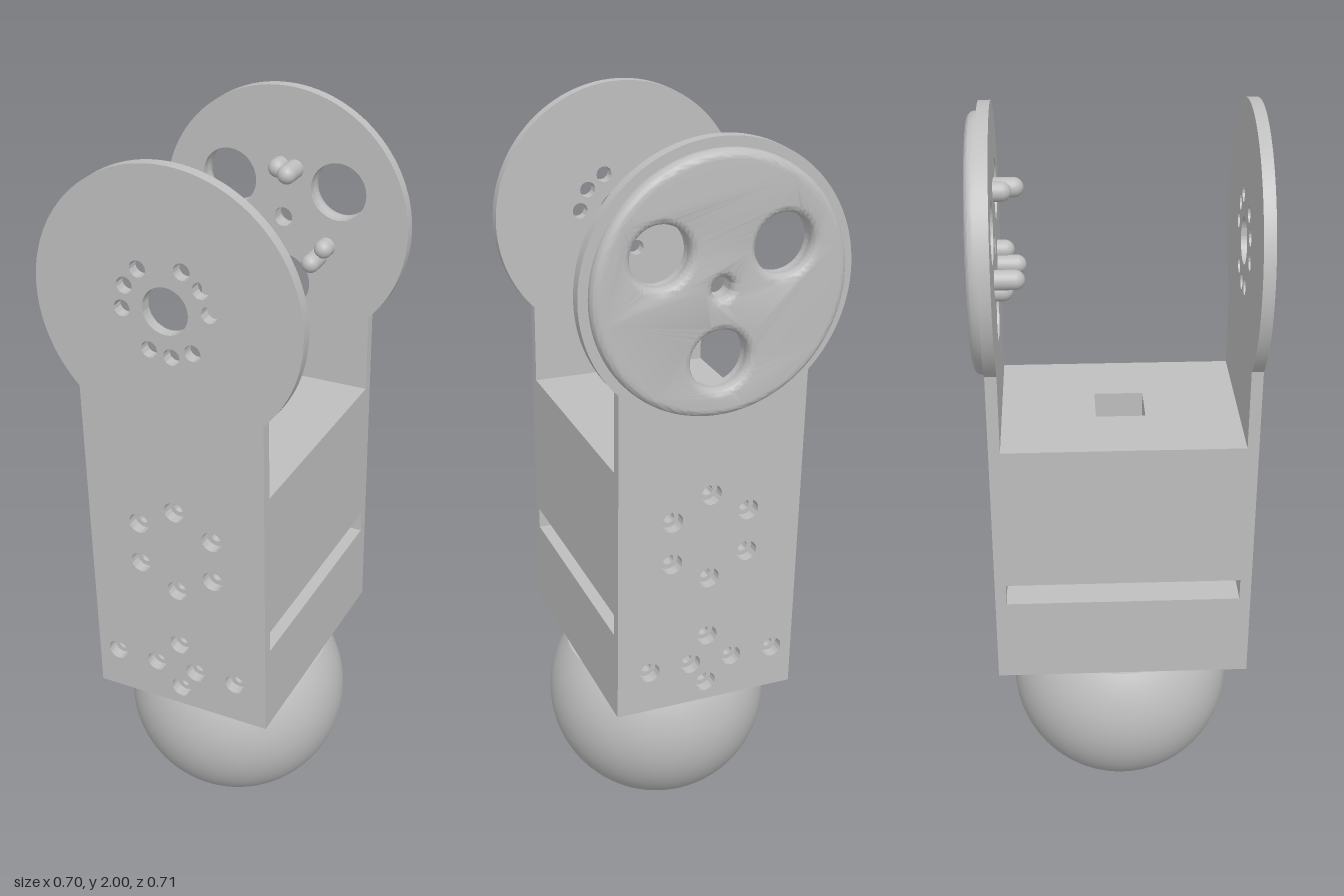
import * as THREE from 'three';
import { toCreasedNormals } from 'three/addons/utils/BufferGeometryUtils.js';

const grey = new THREE.MeshStandardMaterial({ color: 0xbebebe });
grey.name = 'plain grey';

const rad = THREE.MathUtils.degToRad;
const polar = (r, deg) => [r * Math.cos(rad(deg)), r * Math.sin(rad(deg))];

// Heights are measured from the pivot axis at the centre of the round ends.
const BOTTOM = -1.165, BODY_TOP = -0.46, SLOT = [-0.925, -0.865];
const HALF = 0.25, ROUND = 0.35;
const Z_BACK = -0.3, Z_FRONT = 0.325, Z_MID = 0.0125, PLATE = 0.03;

// Screw positions: a hexagon above and a row with two extra below
const screws = [
  ...[30, 90, 150, 210, 270, 330].map((a) => {
    const [x, y] = polar(0.12, a);
    return [x, y - 0.67];
  }),
  ...[-0.192, -0.072, 0.045, 0.161].map((x) => [x, -1.045]),
  [0, -0.965], [0, -1.11],
];
const bigHoles = [30, 150, 270].map((a) => polar(0.18, a));

function addHole(shape, [x, y], r) {
  const path = new THREE.Path();
  path.absarc(x, y, r, 0, Math.PI * 2, true);
  shape.holes.push(path);
}

function extrude(shape, z0, z1, options = {}) {
  const geo = new THREE.ExtrudeGeometry(shape, {
    depth: z1 - z0, bevelEnabled: false, curveSegments: 40, ...options,
  });
  geo.translate(0, 0, z0);
  return toCreasedNormals(geo, 0.6);
}

function add(parent, name, geo) {
  const mesh = new THREE.Mesh(geo, grey);
  mesh.name = name;
  parent.add(mesh);
  return mesh;
}

// Keyhole-shaped plate outline with screw holes
function plateShape() {
  const s = new THREE.Shape();
  const neck = Math.sqrt(ROUND * ROUND - HALF * HALF);
  const a = Math.atan2(-neck, HALF);
  s.moveTo(-HALF, BOTTOM);
  s.lineTo(HALF, BOTTOM);
  s.lineTo(HALF, -neck);
  s.absarc(0, 0, ROUND, a, Math.PI - a, false);
  s.lineTo(-HALF, BOTTOM);
  screws.forEach((p) => addHole(s, p, 0.028));
  return s;
}

// Rectangular block section with narrow screw passages
function blockShape(x0, x1, y0, y1) {
  const s = new THREE.Shape();
  s.moveTo(x0, y0);
  s.lineTo(x1, y0);
  s.lineTo(x1, y1);
  s.lineTo(x0, y1);
  s.closePath();
  const m = 0.016;
  screws
    .filter(([x, y]) => x - m > x0 && x + m < x1 && y - m > y0 && y + m < y1)
    .forEach((p) => addHole(s, p, 0.015));
  return s;
}

// Block pierced from top to bottom by a square well
function addBlock(parent, name, y0, y1, wellHalf) {
  const block = new THREE.Group();
  block.name = name;
  const w0 = Z_MID - 0.065, w1 = Z_MID + 0.065;
  const full = blockShape(-HALF, HALF, y0, y1);
  add(block, 'backSection', extrude(full, Z_BACK, w0));
  add(block, 'frontSection', extrude(full, w1, Z_FRONT));
  add(block, 'rightSection', extrude(blockShape(-HALF, -wellHalf, y0, y1), w0, w1));
  add(block, 'leftSection', extrude(blockShape(wellHalf, HALF, y0, y1), w0, w1));
  parent.add(block);
}

export function createModel() {
  const model = new THREE.Group();
  model.name = 'jointedLink';
  const link = new THREE.Group();
  link.name = 'link';
  link.position.y = 1.65;
  link.rotation.z = 0.0185;
  model.add(link);

  // Round-end features keep their own angle
  const pivot = new THREE.Group();
  pivot.name = 'pivotParts';
  link.add(pivot);

  // Front plate: bearing hole and three groups of three small holes
  const front = plateShape();
  addHole(front, [0, 0], 0.06);
  for (const base of [37, 157, 277]) {
    for (const d of [-30, 0, 30]) addHole(front, polar(0.116, base + d - 1), 0.021);
  }
  add(link, 'frontPlate', extrude(front, Z_FRONT, Z_FRONT + PLATE));

  // Back plate: three large holes and a small centre hole
  const back = plateShape();
  addHole(back, [0, 0], 0.026);
  bigHoles.forEach((p) => addHole(back, p, 0.077));
  add(link, 'backPlate', extrude(back, Z_BACK - PLATE, Z_BACK));

  // Rounded disc on the rear, its inner bevel sunk in the back plate
  const disc = new THREE.Shape();
  disc.absarc(0, 0, 0.325, 0, Math.PI * 2, false);
  addHole(disc, [0, 0], 0.026);
  bigHoles.forEach((p) => addHole(disc, p, 0.075));
  add(pivot, 'rearDisc', extrude(disc, -0.339, -0.329, {
    bevelEnabled: true, bevelThickness: 0.02, bevelSize: 0.02,
    bevelOffset: -0.02, bevelSegments: 6, curveSegments: 64,
  }));

  // Round-tipped pins in pairs, long beside short
  for (let k = 0; k < 3; k++) {
    for (const [name, angle, tip] of [['longPin', 76.6, -0.225], ['shortPin', 93, -0.255]]) {
      const start = Z_BACK - 0.01, r = 0.025;
      const length = tip - start;
      const profile = [new THREE.Vector2(r, 0)];
      for (let i = 0; i <= 8; i++) {
        const t = (i / 8) * Math.PI / 2;
        profile.push(new THREE.Vector2(r * Math.cos(t), length - r + r * Math.sin(t)));
      }
      const pin = add(pivot, name, new THREE.LatheGeometry(profile, 24));
      const [x, y] = polar(0.14, angle + k * 120);
      pin.rotation.x = Math.PI / 2;
      pin.position.set(x, y, start);
    }
  }

  // Two body blocks with the slot left between them
  addBlock(link, 'upperBlock', SLOT[1], BODY_TOP, 0.065);
  addBlock(link, 'lowerBlock', BOTTOM, SLOT[0], 0.09);

  // Ball, cut flat where it meets the body
  const R = 0.31, centreY = -1.337;
  const cut = Math.asin((BOTTOM - centreY) / R);
  const arc = [];
  for (let i = 0; i <= 40; i++) {
    const t = -Math.PI / 2 + (i / 40) * (cut + Math.PI / 2);
    arc.push(new THREE.Vector2(Math.max(0, R * Math.cos(t)), R * Math.sin(t)));
  }
  const rim = arc[arc.length - 1];
  const ball = add(link, 'ball', new THREE.LatheGeometry(arc, 64));
  ball.position.set(0, centreY, Z_MID + 0.003);
  const cap = add(link, 'ballTop', new THREE.CircleGeometry(rim.x, 64));
  cap.rotation.x = -Math.PI / 2;
  cap.position.set(0, BOTTOM, Z_MID + 0.003);

  return model;
}
